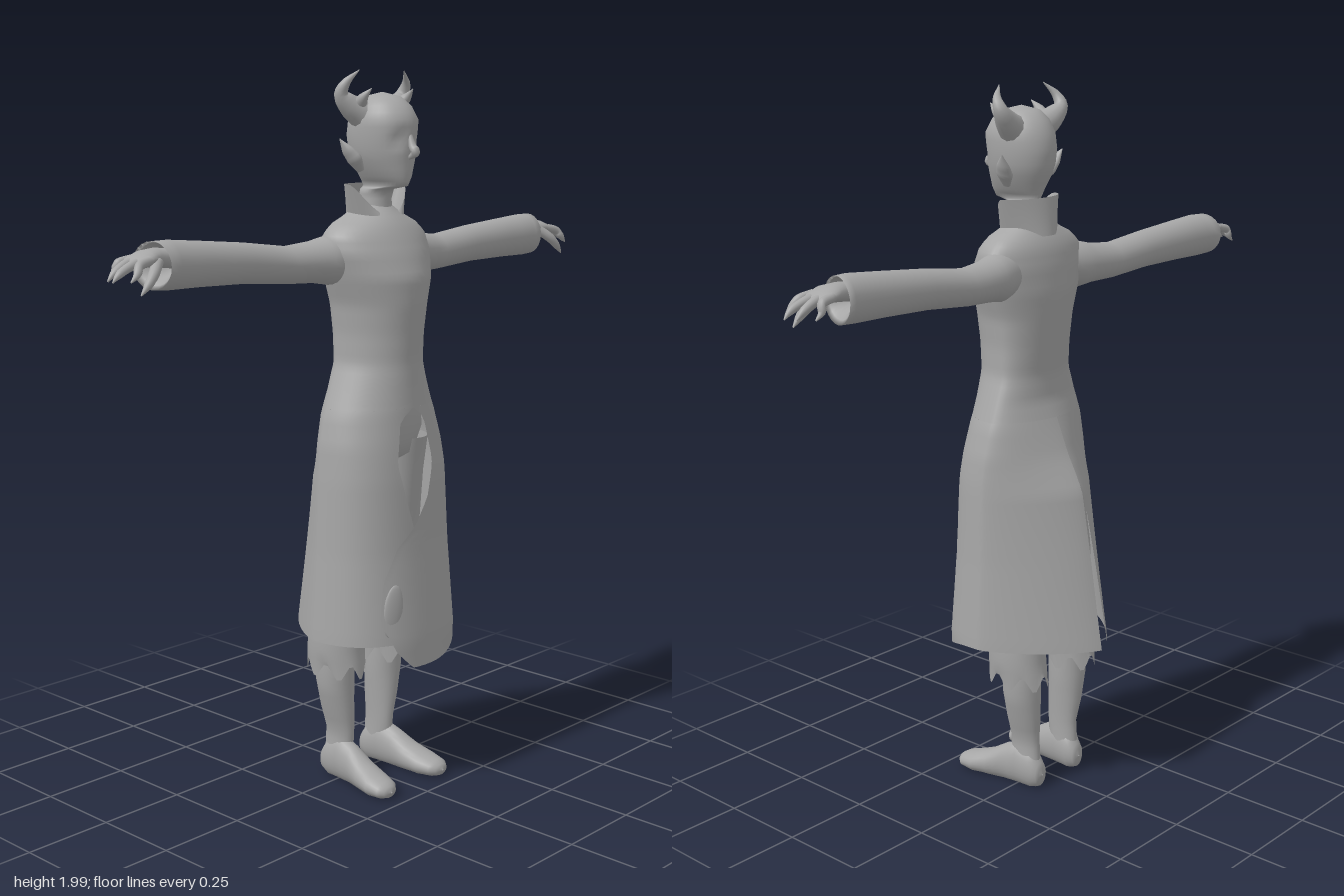
import * as THREE from 'three';

const clay = new THREE.MeshStandardMaterial({ color: 0xa6a6a6, side: THREE.DoubleSide });
clay.name = 'plain grey';

const mesh = (name, geometry) => {
  const m = new THREE.Mesh(geometry, clay);
  m.name = name;
  return m;
};

// Smooth grid surface from fn(u, v) -> [x, y, z]; u may close into a ring
function sheet(name, fn, nu, nv, closed = true) {
  const pos = [], idx = [], cols = closed ? nu : nu + 1;
  for (let j = 0; j <= nv; j++)
    for (let i = 0; i < cols; i++) pos.push(...fn(i / nu, j / nv));
  for (let j = 0; j < nv; j++)
    for (let i = 0; i < nu; i++) {
      const a = j * cols + i, b = j * cols + (i + 1) % cols;
      idx.push(a, a + cols, b, b, a + cols, b + cols);
    }
  const g = new THREE.BufferGeometry();
  g.setAttribute('position', new THREE.Float32BufferAttribute(pos, 3));
  g.setIndex(idx);
  g.computeVertexNormals();
  return mesh(name, g);
}

// Linear lookup in rows keyed by their first value (ascending or descending)
function lookup(rows, t) {
  const dir = Math.sign(rows[rows.length - 1][0] - rows[0][0]);
  let i = 0;
  while (i < rows.length - 2 && (t - rows[i + 1][0]) * dir > 0) i++;
  const [a, b] = [rows[i], rows[i + 1]];
  const k = THREE.MathUtils.clamp((t - a[0]) / (b[0] - a[0]), 0, 1);
  return a.map((n, c) => n + (b[c] - n) * k);
}

// Elliptical sections [position, centre1, centre2, radius1, radius2] along an axis
function loft(name, rows, axis, tweak = p => p, nu = 24) {
  const nv = (rows.length - 1) * 2;
  return sheet(name, (u, v) => {
    const f = v * (rows.length - 1), i = Math.min(Math.floor(f), rows.length - 2), k = f - i;
    const [t, c1, c2, r1, r2] = rows[i].map((n, c) => n + (rows[i + 1][c] - n) * k);
    const a = u * Math.PI * 2, p = c1 + r1 * Math.cos(a), q = c2 + r2 * Math.sin(a);
    return tweak(axis === 'y' ? [p, t, q] : axis === 'x' ? [t, p, q] : [p, q, t], u, v);
  }, nu, nv);
}

// Tapered tube through points, radii spread evenly along it
function taper(name, points, radii, flat = 1) {
  const curve = new THREE.CatmullRomCurve3(points.map(p => new THREE.Vector3(...p)));
  const n = 14, frames = curve.computeFrenetFrames(n);
  const rows = radii.map((r, i) => [i / (radii.length - 1), r]);
  return sheet(name, (u, v) => {
    const r = lookup(rows, v)[1], a = u * Math.PI * 2, j = Math.round(v * n);
    return curve.getPoint(v)
      .addScaledVector(frames.normals[j], r * Math.cos(a))
      .addScaledVector(frames.binormals[j], r * flat * Math.sin(a)).toArray();
  }, 12, n);
}

// Coat profile: height, half width, front z, back z
const COAT = [
  [1.645, .05, .085, 0], [1.62, .085, .11, -.015], [1.6, .135, .13, -.03], [1.57, .172, .15, -.045],
  [1.52, .18, .175, -.055], [1.45, .16, .2, -.06], [1.38, .137, .198, -.055], [1.3, .13, .188, -.045],
  [1.22, .132, .182, -.035], [1.15, .158, .185, -.04], [1.08, .184, .19, -.065], [1, .2, .197, -.095],
  [.9, .207, .205, -.145], [.7, .215, .215, -.185], [.46, .23, .235, -.23], [.38, .225, .235, -.24],
];
const backPower = y => 1 + .5 * THREE.MathUtils.smoothstep(1.2 - y, 0, .3);
const frontPower = y => 1 - .15 * THREE.MathUtils.smoothstep(1.2 - y, 0, .3);
const power = (n, p) => Math.sign(n) * Math.abs(n) ** p;

function coatPoint(a, y, out = 0) {
  const [, rx, zf, zb] = lookup(COAT, y), cz = .03, s = Math.sin(a);
  const p = s > 0 ? frontPower(y) : backPower(y);
  return [(rx + out) * power(Math.cos(a), p), y, cz + ((s > 0 ? zf - cz : cz - zb) + out) * power(s, p)];
}
// Angle at which the coat section reaches a given x
const angleAt = (x, y, p) => Math.acos(THREE.MathUtils.clamp(power(x / lookup(COAT, y)[1], 1 / p), -1, 1));

// One skirt panel from the front opening round to the back slit
function skirtPanel(name, frontEdge, backEdge, side, hem, out) {
  const top = 1.1;
  return sheet(name, (u, v) => {
    const nominal = top - (top - hem(1)) * v;
    const a0 = angleAt(lookup(frontEdge, nominal)[1], nominal, frontPower(nominal));
    let a1 = -angleAt(lookup(backEdge, nominal)[1], nominal, backPower(nominal));
    if (side < 0) a1 += Math.PI * 2;
    const a = a0 + (a1 - a0) * u;
    return coatPoint(a, top - (top - hem(Math.sin(a))) * v, out * Math.min(1, v * 4));
  }, 40, 32, false);
}

function buildCoat() {
  const g = new THREE.Group();
  g.name = 'coat';
  g.add(sheet('coatBody', (u, v) => coatPoint(u * Math.PI * 2, 1.645 - .545 * v), 48, 34));
  g.add(skirtPanel('leftSkirtPanel',
    [[1.1, 0], [1.07, .04], [.95, .06], [.85, .03], [.78, -.02], [.72, -.085], [.62, -.13], [.5, -.145], [.42, -.1], [.38, -.05]],
    [[1.1, 0], [.95, 0], [.45, .01]], 1,
    s => .455 - .075 * Math.max(0, s) ** 2, .008));
  g.add(skirtPanel('rightSkirtPanel',
    [[1.1, 0], [1.07, -.05], [.95, -.07], [.85, -.045], [.75, -.015], [.46, -.02]],
    [[1.1, 0], [.95, 0], [.85, -.02], [.46, -.05]], -1, () => .455, 0));
  // Curled patch on the edge of the overlapping flap
  const curl = mesh('flapCurl', new THREE.SphereGeometry(1, 20, 12));
  curl.scale.set(.03, .075, .008);
  curl.position.set(-.11, .55, .215);
  curl.rotation.set(0, -.35, -.12);
  g.add(curl);
  // Standing collar, open at the front
  g.add(sheet('collar', (u, v) => {
    const a = Math.PI / 2 + .3 + u * (Math.PI * 2 - .6), s = Math.sin(a);
    const y = 1.6 + v * (.1 - .085 * Math.max(0, s) ** 2);
    return [(.078 + .03 * v) * Math.cos(a), y, .045 + (.078 - .024 * v) * s];
  }, 36, 6, false));
  return g;
}

function buildHead() {
  const g = new THREE.Group();
  g.name = 'head';
  const dent = (x, y, cx, cy, r) => Math.exp(-((x - cx) ** 2 + (y - cy) ** 2) / (r * r));
  g.add(loft('skull', [
    [1.58, 0, .045, .05, .05], [1.66, 0, .046, .043, .045], [1.685, 0, .052, .045, .047], [1.695, 0, .083, .03, .077],
    [1.72, 0, .082, .05, .085], [1.76, 0, .074, .07, .096], [1.79, 0, .071, .079, .102], [1.83, 0, .071, .084, .106],
    [1.87, 0, .074, .084, .102], [1.905, 0, .073, .07, .083], [1.93, 0, .071, .046, .053], [1.942, 0, .07, .001, .001],
  ], 'y', ([x, y, z]) => [x, y, z > .1 ? z - .012 * dent(Math.abs(x), y, .034, 1.82, .02) : z], 36));
  g.add(taper('nose', [[0, 1.835, .168], [0, 1.8, .18], [0, 1.785, .19], [0, 1.768, .165]], [.006, .011, .013, .004]));
  for (const s of [1, -1]) {
    const half = new THREE.Group();
    half.name = s > 0 ? 'leftHeadSide' : 'rightHeadSide';
    half.scale.x = s;
    half.add(taper('ear', [[.072, 1.735, .06], [.088, 1.765, .052], [.105, 1.79, .042], [.123, 1.82, .03]], [.012, .026, .02, .001], .6));
    half.add(taper('horn', [[.06, 1.885, .05], [.092, 1.905, .04], [.121, 1.935, .035], [.118, 1.965, .05], [.088, 1.998, .07]],
      [.04, .032, .02, .012, .001]));
    half.add(taper('hornSpur', [[.07, 1.9, .05], [.085, 1.925, .08], [.082, 1.95, .108]], [.022, .014, .001]));
    g.add(half);
  }
  return g;
}

function buildArm() {
  const g = new THREE.Group();
  g.add(loft('sleeve', [
    [.1, 1.505, .03, .06, .06], [.16, 1.5, .02, .066, .066], [.21, 1.498, .01, .056, .06], [.3, 1.495, .002, .05, .053],
    [.45, 1.51, 0, .053, .052], [.6, 1.518, 0, .058, .054], [.7, 1.522, 0, .062, .057], [.745, 1.523, -.003, .06, .06],
    [.725, 1.53, 0, .045, .045], [.66, 1.53, 0, .02, .02],
  ], 'x', ([x, y, z]) => [x > .7 ? x - z * .2 : x, y, z]));
  g.add(loft('palm', [
    [.66, 1.535, 0, .025, .028], [.74, 1.543, 0, .024, .032], [.775, 1.542, .002, .021, .045],
    [.81, 1.533, .002, .015, .046], [.825, 1.528, .002, .002, .03],
  ], 'x'));
  // Four drooping fingers: z, tip x, tip z
  [[.037, .858, .055], [.014, .888, .024], [-.01, .878, -.008], [-.033, .848, -.042]].forEach(([z, tx, tz]) =>
    g.add(taper('finger', [[.785, 1.54, z], [.825, 1.53, (z + tz) / 2], [tx - .02, 1.512, tz], [tx, 1.494, tz]], [.012, .012, .01, .002])));
  g.add(taper('thumb', [[.755, 1.535, .03], [.785, 1.51, .052], [.81, 1.485, .06], [.832, 1.462, .06]], [.015, .014, .011, .002]));
  return g;
}

function buildLeg() {
  const g = new THREE.Group();
  g.add(loft('trouserLeg', [
    [.345, .105, -.006, .066, .096], [.41, .107, -.004, .073, .088], [.5, .105, 0, .072, .086],
    [.7, .1, .01, .076, .09], [.9, .086, .035, .076, .095], [1, .08, .05, .08, .1],
  ], 'y', ([x, y, z], u, v) => [x, y + (v === 0 ? .022 * Math.sin(u * 43.98) : 0), z], 42));
  g.add(loft('bootShaft', [
    [.05, .085, -.022, .033, .046], [.1, .083, -.015, .029, .048], [.15, .083, -.012, .029, .048],
    [.22, .092, -.014, .041, .054], [.3, .1, -.015, .053, .056], [.42, .102, -.01, .053, .056],
  ], 'y'));
  g.add(loft('foot', [
    [-.077, .083, .045, .002, .002], [-.07, .083, .045, .024, .033], [-.045, .084, .056, .034, .055], [0, .087, .063, .036, .062],
    [.05, .091, .054, .037, .053], [.1, .098, .04, .044, .039], [.15, .105, .031, .048, .03],
    [.19, .109, .027, .04, .022], [.206, .11, .025, .025, .015], [.213, .11, .025, .002, .002],
  ], 'z', ([x, y, z]) => [x, Math.max(.004, y * 1.08 - .003), z]));
  return g;
}

export function createModel() {
  const model = new THREE.Group();
  model.name = 'figure';
  model.add(buildCoat(), buildHead());
  model.add(loft('hips', [
    [.93, 0, .045, .03, .05], [.96, 0, .05, .12, .09], [1.03, 0, .055, .15, .1], [1.12, 0, .065, .13, .09], [1.2, 0, .07, .11, .08],
  ], 'y'));
  for (const s of [1, -1]) {
    const arm = buildArm(), leg = buildLeg(), word = s > 0 ? 'left' : 'right';
    arm.name = word + 'Arm';
    leg.name = word + 'Leg';
    arm.scale.x = leg.scale.x = s;
    model.add(arm, leg);
  }
  return model;
}
